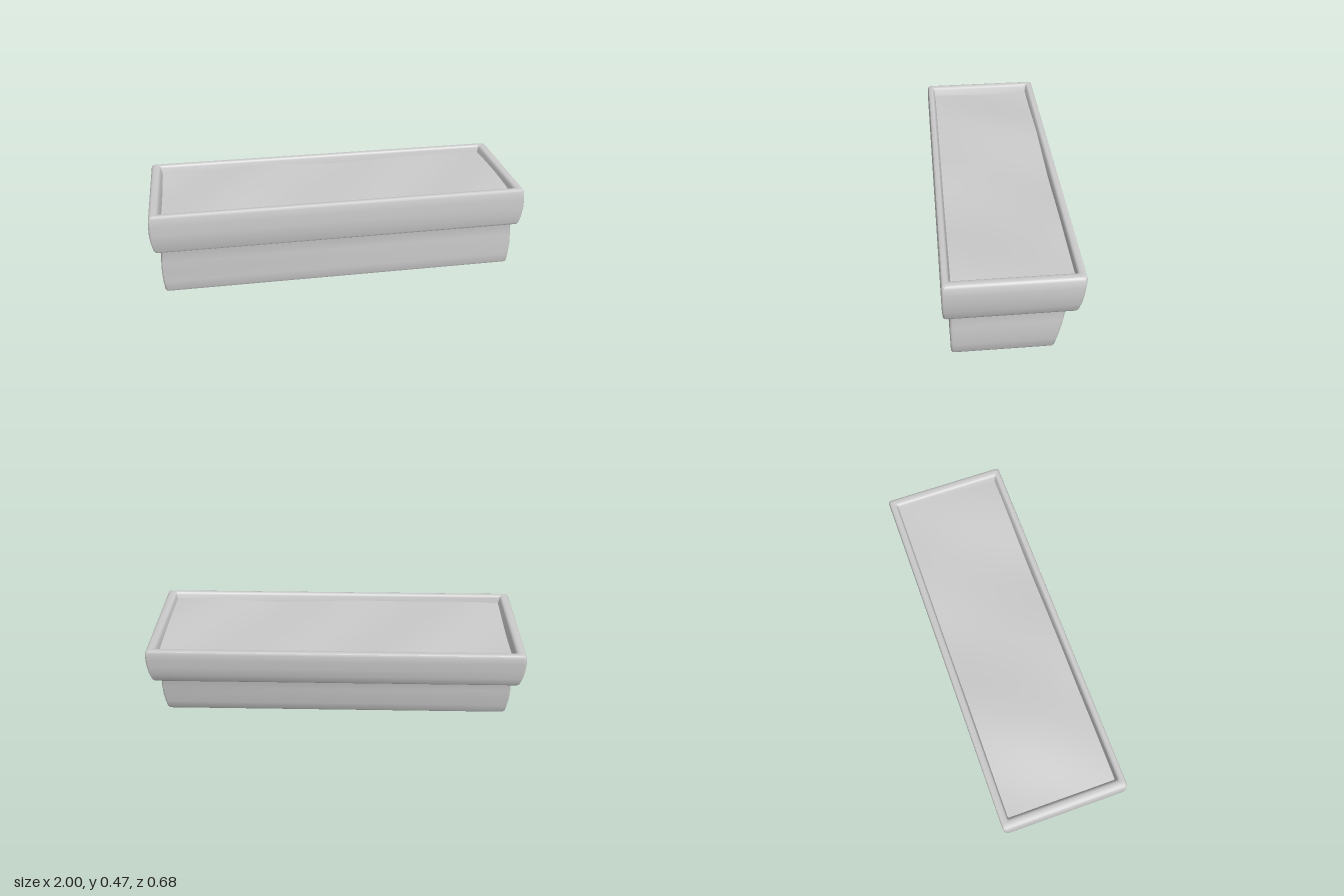
import * as THREE from 'three';
import { toCreasedNormals } from 'three/addons/utils/BufferGeometryUtils.js';

const material = new THREE.MeshStandardMaterial({ color: 0xcccccc });
const soilMaterial = new THREE.MeshStandardMaterial({ color: 0xcccccc, side: THREE.DoubleSide });
const CORNER = 4; // segments per rounded corner

// One rounded rectangle: height, half width, front z, back z, corner radius
function ring([y, w, front, back, r]) {
  const points = [];
  const corners = [[w - r, front - r], [r - w, front - r], [r - w, back + r], [w - r, back + r]];
  corners.forEach(([cx, cz], q) => {
    for (let i = 0; i <= CORNER; i++) {
      const a = (q + i / CORNER) * Math.PI / 2;
      points.push(cx + r * Math.cos(a), y, cz + r * Math.sin(a));
    }
  });
  return points;
}

// Skin the rings in order and close the first one with a flat cap
function loft(rings) {
  const n = 4 * (CORNER + 1);
  const positions = rings.flatMap(ring);
  const index = [];
  for (let i = 0; i < rings.length - 1; i++) {
    for (let j = 0; j < n; j++) {
      const a = i * n + j, b = i * n + (j + 1) % n;
      index.push(a, a + n, b, b, a + n, b + n);
    }
  }
  const centre = positions.length / 3;
  positions.push(0, rings[0][0], (rings[0][2] + rings[0][3]) / 2);
  for (let j = 0; j < n; j++) index.push(centre, j, (j + 1) % n);
  const g = new THREE.BufferGeometry();
  g.setAttribute('position', new THREE.Float32BufferAttribute(positions, 3));
  g.setIndex(index);
  return toCreasedNormals(g, 0.75);
}

export function createModel() {
  const group = new THREE.Group();

  // Tapered trough, undercut lip, thick rim and inner wall in one skin
  const box = new THREE.Mesh(loft([
    [0.000, 0.935, 0.290, -0.192, 0.012],
    [0.003, 0.943, 0.298, -0.200, 0.014],
    [0.012, 0.948, 0.302, -0.206, 0.014],
    [0.060, 0.954, 0.303, -0.218, 0.014],
    [0.120, 0.957, 0.304, -0.231, 0.014],
    [0.180, 0.955, 0.304, -0.243, 0.014],
    [0.240, 0.949, 0.303, -0.253, 0.014],
    [0.250, 0.951, 0.306, -0.257, 0.014],
    [0.254, 0.957, 0.312, -0.265, 0.014],
    [0.256, 0.972, 0.328, -0.292, 0.014],
    [0.259, 0.979, 0.332, -0.302, 0.014],
    [0.268, 0.984, 0.334, -0.308, 0.014],
    [0.310, 0.994, 0.337, -0.318, 0.014],
    [0.360, 0.999, 0.338, -0.326, 0.014],
    [0.410, 0.999, 0.337, -0.332, 0.014],
    [0.452, 0.994, 0.335, -0.337, 0.014],
    [0.462, 0.988, 0.331, -0.334, 0.014],
    [0.466, 0.978, 0.322, -0.326, 0.014],
    [0.466, 0.956, 0.307, -0.306, 0.012],
    [0.462, 0.948, 0.302, -0.300, 0.010],
    [0.452, 0.942, 0.298, -0.296, 0.008],
    [0.370, 0.924, 0.288, -0.286, 0.006],
  ]), material);
  box.name = 'planterBox';
  group.add(box);

  // Gently uneven soil filling the box
  const soilGeometry = new THREE.PlaneGeometry(1.868, 0.582, 48, 16).rotateX(-Math.PI / 2);
  const p = soilGeometry.attributes.position;
  for (let i = 0; i < p.count; i++) {
    const x = p.getX(i), z = p.getZ(i);
    const wave = 0.010 * Math.cos(5 * x + 2) * Math.cos(3 * z) + 0.005 * Math.sin(8 * x + 6 * z);
    p.setY(i, 0.425 + wave);
  }
  soilGeometry.computeVertexNormals();
  const soil = new THREE.Mesh(soilGeometry, soilMaterial);
  soil.name = 'soil';
  group.add(soil);

  return group;
}
